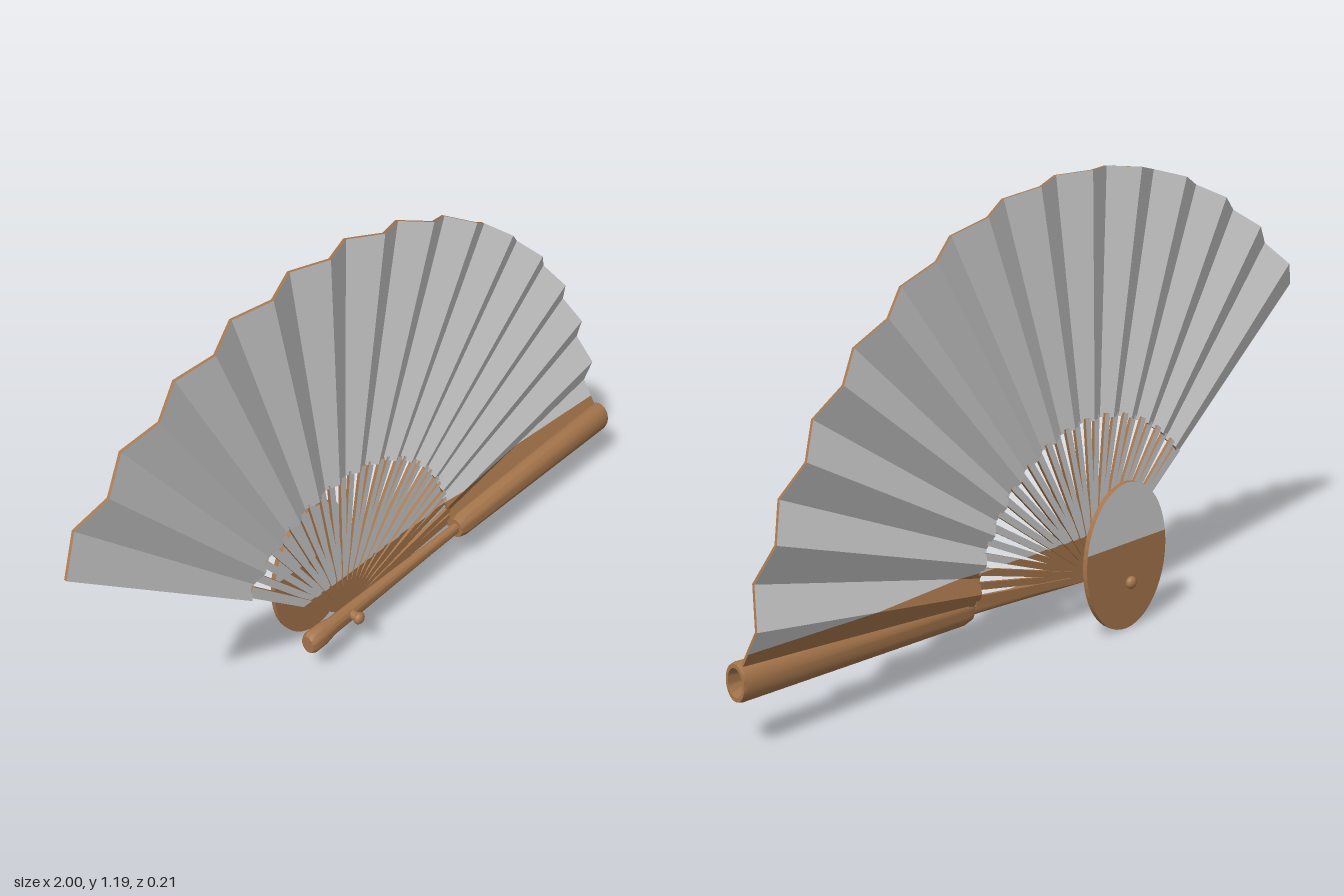
import * as THREE from 'three';
import { toCreasedNormals } from 'three/addons/utils/BufferGeometryUtils.js';

const PIVOT = { x: -0.13, y: 0.12 };
const SPLIT_Y = 0.24; // below this height everything is bare wood
const FOLDS = 28;
const START = THREE.MathUtils.degToRad(4);
const END = THREE.MathUtils.degToRad(142.4);
const INNER = 0.43;
const OUTER = [1.124, 1.085, 1.068, 1.072, 1.08, 1.085, 1.1];

const foldAngle = (i) => START + ((END - START) * i) / FOLDS;
const meanZ = (x) => 0.034 - 0.009 * x;

function outerRadius(i) {
  const t = (i / FOLDS) * (OUTER.length - 1);
  const k = Math.min(Math.floor(t), OUTER.length - 2);
  return THREE.MathUtils.lerp(OUTER[k], OUTER[k + 1], t - k);
}

// Keep the part of a convex polygon on one side of the split height
function clip(poly, sign) {
  const out = [];
  poly.forEach((p, i) => {
    const q = poly[(i + 1) % poly.length];
    const dp = sign * (p.y - SPLIT_Y), dq = sign * (q.y - SPLIT_Y);
    if (dp >= 0) out.push(p);
    if (dp * dq < 0) out.push(p.clone().lerp(q, dp / (dp - dq)));
  });
  return out;
}

// Flat geometry with two groups: 0 = wood, 1 = paper (broad faces above the split)
function twoTone(triangles) {
  const wood = [], paper = [];
  const fan = (poly, list) => {
    for (let i = 1; i < poly.length - 1; i++) list.push(poly[0], poly[i], poly[i + 1]);
  };
  const normal = new THREE.Vector3();
  for (let i = 0; i < triangles.length; i += 3) {
    const tri = triangles.slice(i, i + 3);
    new THREE.Triangle(...tri).getNormal(normal);
    if (Math.abs(normal.z) < 0.5) {
      wood.push(...tri);
    } else {
      fan(clip(tri, -1), wood);
      fan(clip(tri, 1), paper);
    }
  }
  const geometry = new THREE.BufferGeometry().setFromPoints([...wood, ...paper]);
  geometry.addGroup(0, wood.length, 0);
  geometry.addGroup(wood.length, paper.length, 1);
  geometry.computeVertexNormals();
  return geometry;
}

function trianglesOf(geometry) {
  const pos = geometry.toNonIndexed().attributes.position;
  return Array.from({ length: pos.count }, (_, i) => new THREE.Vector3().fromBufferAttribute(pos, i));
}

// Pleated leaf: thin zigzag sheet with front, back and rims
function leafTriangles() {
  const tris = [];
  const quad = (a, b, c, d) => tris.push(a, b, c, a, c, d);
  const point = (i, outer, side) => {
    const r = outer ? outerRadius(i) : INNER;
    const x = PIVOT.x + r * Math.cos(foldAngle(i));
    const y = PIVOT.y + r * Math.sin(foldAngle(i));
    const pleat = (i % 2 ? -1 : 1) * 0.018 * r;
    return new THREE.Vector3(x, y, meanZ(x) + pleat + side * 0.004);
  };
  for (let i = 0; i < FOLDS; i++) {
    const [a, b, c, d] = [point(i, 0, 1), point(i, 1, 1), point(i + 1, 1, 1), point(i + 1, 0, 1)];
    const [e, f, g, h] = [point(i, 0, -1), point(i, 1, -1), point(i + 1, 1, -1), point(i + 1, 0, -1)];
    quad(a, b, c, d);
    quad(h, g, f, e);
    quad(b, f, g, c);
    quad(d, h, e, a);
    if (i === 0) quad(a, e, f, b);
    if (i === FOLDS - 1) quad(d, c, g, h);
  }
  return tris;
}

// Tapered slat from the pivot to the leaf
function ribTriangles(i) {
  const edge = i === 0 || i === FOLDS - 1;
  const length = INNER + 0.03;
  const box = new THREE.BoxGeometry(length, 1, 0.009);
  const pos = box.attributes.position;
  for (let k = 0; k < pos.count; k++) {
    const far = pos.getX(k) > 0;
    pos.setY(k, pos.getY(k) * (far ? (edge ? 0.028 : 0.019) : 0.014));
  }
  const angle = foldAngle(i + 0.5);
  box.translate(length / 2 - 0.02, 0, 0).rotateZ(angle);
  const z = meanZ(PIVOT.x + 0.25 * Math.cos(angle)) + (i % 2 ? 0.002 : -0.002);
  box.translate(PIVOT.x, PIVOT.y, z);
  return trianglesOf(box);
}

export function createModel() {
  const model = new THREE.Group();
  model.name = 'foldingFan';
  const wood = new THREE.MeshStandardMaterial({ color: 0xa5754b });
  wood.name = 'wood';
  const paper = new THREE.MeshStandardMaterial({ color: 0xcccccc });
  paper.name = 'paper';

  const add = (name, geometry, material, parent = model) => {
    const mesh = new THREE.Mesh(geometry, material);
    mesh.name = name;
    parent.add(mesh);
    return mesh;
  };

  add('pleatedLeaf', twoTone(leafTriangles()), [wood, paper]);

  const ribs = new THREE.Group();
  ribs.name = 'ribs';
  model.add(ribs);
  for (let i = 0; i < FOLDS; i++) add('rib', twoTone(ribTriangles(i)), [wood, paper], ribs);

  // Oval plate standing behind the pivot
  const plate = new THREE.CylinderGeometry(1, 1, 0.014, 48);
  plate.rotateX(Math.PI / 2).scale(0.153, 0.2, 1).translate(-0.125, 0.204, -0.077);
  add('backPlate', twoTone(trianglesOf(plate)), [wood, paper]);

  // Handle: slim rod with a knob, widening into a hollow barrel
  const profile = [
    [0, 0], [0.026, 0], [0.033, 0.012], [0.033, 0.05], [0.026, 0.09], [0.018, 0.5], [0.017, 0.6],
    [0.03, 0.6], [0.037, 0.625], [0.047, 1.28], [0.044, 1.29], [0.034, 1.29], [0.03, 1.26], [0.03, 0.9], [0, 0.9],
  ].map(([r, s]) => new THREE.Vector2(r, s));
  const handle = toCreasedNormals(new THREE.LatheGeometry(profile, 28), 0.6);
  handle.scale(1, 1, 0.78).rotateZ(-Math.PI / 2 + 0.039).translate(-0.29, 0.12, 0.055);
  add('handle', handle, wood);

  // Rivet through the pivot with a rounded head at each end
  const rivet = new THREE.Group();
  rivet.name = 'rivet';
  rivet.position.set(-0.135, 0.13, 0);
  model.add(rivet);
  add('pin', new THREE.CylinderGeometry(0.013, 0.013, 0.19, 20).rotateX(Math.PI / 2), wood, rivet);
  for (const z of [0.093, -0.09]) {
    add('rivetHead', new THREE.SphereGeometry(0.017, 20, 12).scale(1, 1, 0.75), wood, rivet).position.z = z;
  }
  return model;
}
